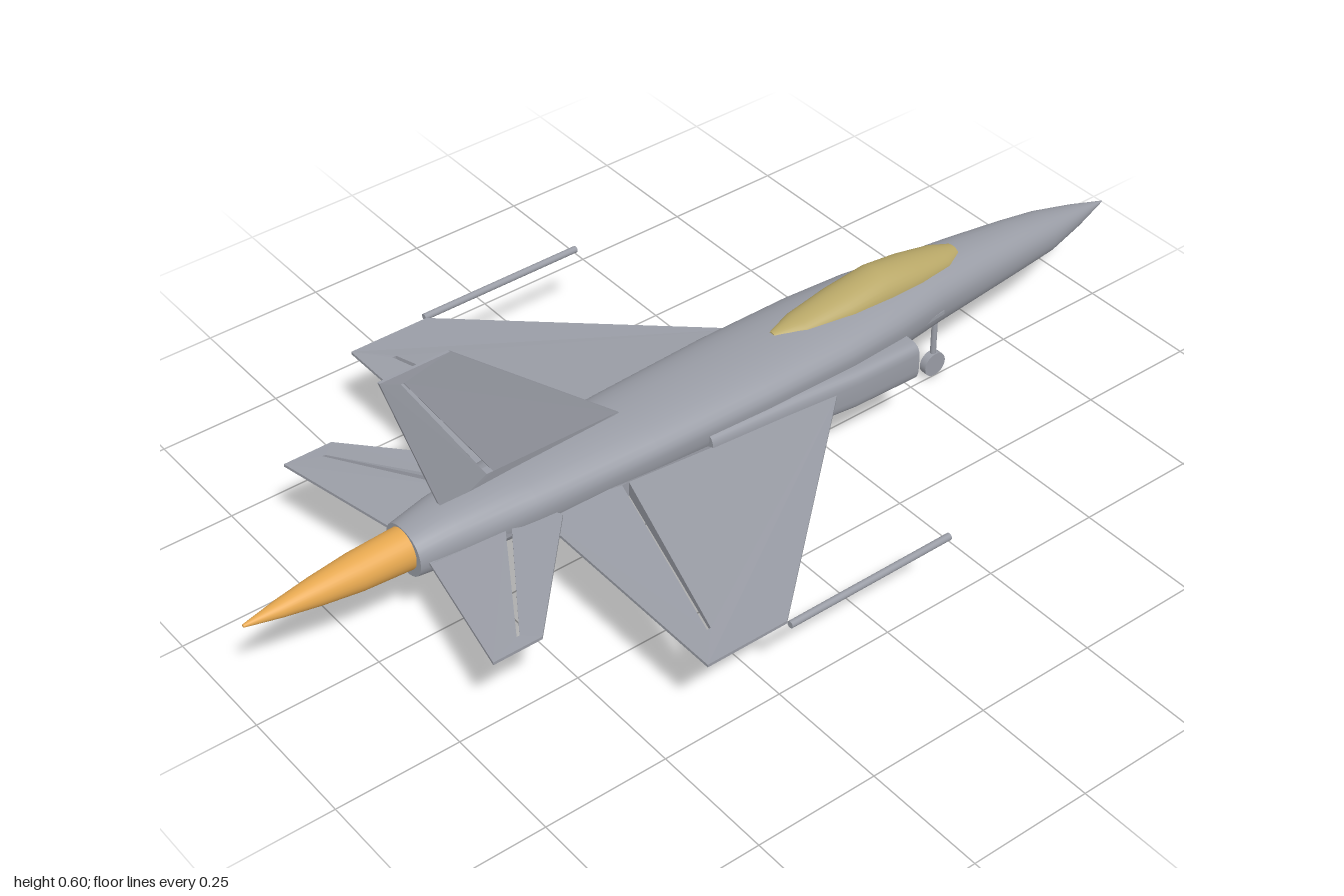
import * as THREE from 'three';

const mat = (name, color, side = THREE.FrontSide) => {
  const m = new THREE.MeshStandardMaterial({ color, side });
  m.name = name;
  return m;
};

// Smooth body through stations [x, halfWidth, top, bottom, widestY, centreZ]; power < 1 squares the section
function loft(stations, power = 1, n = 32) {
  const pos = [], idx = [];
  const bend = v => Math.sign(v) * Math.pow(Math.abs(v), power);
  const ring = ([x, w, top, bottom, mid, cz = 0]) => {
    for (let j = 0; j < n; j++) {
      const a = (j / n) * Math.PI * 2, s = bend(Math.sin(a));
      pos.push(x, mid + s * (s > 0 ? top - mid : mid - bottom), cz + w * bend(Math.cos(a)));
    }
  };
  stations.forEach(ring);
  for (let i = 0; i < stations.length - 1; i++) {
    for (let j = 0; j < n; j++) {
      const k = (j + 1) % n, a = i * n + j, b = a + n, c = (i + 1) * n + k, d = i * n + k;
      idx.push(a, b, c, a, c, d);
    }
  }
  // end caps
  [stations[0], stations[stations.length - 1]].forEach((st, e) => {
    const base = pos.length / 3;
    ring(st);
    pos.push(st[0], st[4], st[5] || 0);
    for (let j = 0; j < n; j++) {
      const k = (j + 1) % n;
      if (e === 0) idx.push(base + n, base + j, base + k);
      else idx.push(base + n, base + k, base + j);
    }
  });
  const g = new THREE.BufferGeometry();
  g.setAttribute('position', new THREE.Float32BufferAttribute(pos, 3));
  g.setIndex(idx);
  g.computeVertexNormals();
  return g;
}

// Upright tapered panel: thin at its outline, thickest along the control-surface slit
function panel(outline, slit, thickRoot, thickTip) {
  const vec = p => new THREE.Vector2(p[0], p[1]);
  const shape = new THREE.Shape(outline.map(vec));
  shape.holes.push(new THREE.Path(slit.map(vec)));
  const g = new THREE.ExtrudeGeometry(shape, { depth: 1, bevelEnabled: false });
  const p = g.attributes.position;
  const low = slit[0][1], high = slit[2][1];
  for (let i = 0; i < p.count; i++) {
    const x = p.getX(i), y = p.getY(i);
    const onSlit = slit.some(q => Math.abs(q[0] - x) + Math.abs(q[1] - y) < 1e-4);
    const half = onSlit ? THREE.MathUtils.lerp(thickRoot, thickTip, (y - low) / (high - low)) : 0.003;
    p.setZ(i, p.getZ(i) > 0.5 ? half : -half);
  }
  g.computeVertexNormals();
  return g;
}

export function createModel() {
  const model = new THREE.Group();
  model.name = 'jet';
  const grey = mat('airframeGrey', 0x9a9da6);
  const glass = mat('canopyGold', 0xb9a868);
  const orange = mat('flameOrange', 0xe6a850);

  const add = (name, geo, material = grey, parent = model) => {
    const m = new THREE.Mesh(geo, material);
    m.name = name;
    parent.add(m);
    return m;
  };
  // Cylinder between two points
  const rod = (name, a, b, r, sides = 16) => {
    const from = new THREE.Vector3(...a), to = new THREE.Vector3(...b);
    const m = add(name, new THREE.CylinderGeometry(r, r, from.distanceTo(to), sides));
    m.position.copy(from).lerp(to, 0.5);
    m.quaternion.setFromUnitVectors(new THREE.Vector3(0, 1, 0), to.sub(from).normalize());
    return m;
  };

  // Fuselage, nose towards +x
  add('fuselage', loft([
    [-0.68, 0.053, 0.272, 0.176, 0.226],
    [-0.60, 0.066, 0.286, 0.171, 0.232],
    [-0.45, 0.084, 0.292, 0.168, 0.240],
    [-0.20, 0.102, 0.297, 0.163, 0.248],
    [0.05, 0.110, 0.302, 0.160, 0.252],
    [0.25, 0.109, 0.305, 0.161, 0.252],
    [0.38, 0.099, 0.306, 0.164, 0.250],
    [0.50, 0.080, 0.304, 0.169, 0.245],
    [0.62, 0.067, 0.297, 0.176, 0.240],
    [0.75, 0.053, 0.284, 0.184, 0.235],
    [0.83, 0.044, 0.273, 0.190, 0.231],
    [0.92, 0.024, 0.253, 0.209, 0.231],
    [1.00, 0.001, 0.232, 0.230, 0.231],
  ], 0.92));

  // Exhaust flame
  add('exhaustFlame', loft([
    [-1.00, 0.003, 0.235, 0.229, 0.232],
    [-0.93, 0.017, 0.247, 0.215, 0.231],
    [-0.86, 0.027, 0.257, 0.203, 0.230],
    [-0.78, 0.036, 0.265, 0.193, 0.229],
    [-0.67, 0.041, 0.270, 0.187, 0.229],
  ]), orange);

  // Cockpit canopy
  add('canopy', loft([
    [0.14, 0.010, 0.306, 0.290, 0.296],
    [0.20, 0.034, 0.314, 0.280, 0.294],
    [0.30, 0.048, 0.327, 0.280, 0.294],
    [0.39, 0.051, 0.340, 0.280, 0.294],
    [0.47, 0.048, 0.330, 0.278, 0.292],
    [0.55, 0.038, 0.315, 0.275, 0.289],
    [0.59, 0.022, 0.304, 0.275, 0.286],
  ]), glass);

  // Tail fin
  add('tailFin', panel(
    [[-0.59, 0.26], [-0.17, 0.26], [-0.22, 0.30], [-0.56, 0.60], [-0.70, 0.60], [-0.605, 0.29]],
    [[-0.507, 0.31], [-0.493, 0.31], [-0.654, 0.58], [-0.66, 0.58]], 0.009, 0.004));

  const wingShape = panel(
    [[-0.44, 0.05], [0.27, 0.05], [0.19, 0.13], [-0.27, 0.54], [-0.44, 0.54]],
    [[-0.284, 0.10], [-0.269, 0.10], [-0.382, 0.475], [-0.39, 0.475]], 0.016, 0.005);
  const tailShape = panel(
    [[-0.66, 0.03], [-0.45, 0.03], [-0.41, 0.095], [-0.62, 0.325], [-0.72, 0.325], [-0.665, 0.06]],
    [[-0.518, 0.075], [-0.505, 0.075], [-0.649, 0.30], [-0.655, 0.30]], 0.009, 0.004);

  for (const s of [1, -1]) {
    const side = s > 0 ? 'near' : 'far';

    // Wing, tailplane and wingtip rail
    const wing = add(side + 'Wing', wingShape);
    wing.position.y = 0.211;
    wing.rotation.x = s * Math.PI / 2;
    const tail = add(side + 'Tailplane', tailShape);
    tail.position.y = 0.222;
    tail.rotation.x = s * Math.PI / 2;
    rod(side + 'WingtipRail', [-0.27, 0.211, s * 0.548], [0.09, 0.211, s * 0.548], 0.007, 12);

    // Air intake and the slim strake ahead of it
    add(side + 'Intake', loft([
      [-0.09, 0.035, 0.246, 0.166, 0.21, s * 0.080],
      [0.10, 0.036, 0.243, 0.160, 0.20, s * 0.088],
      [0.24, 0.036, 0.240, 0.153, 0.20, s * 0.098],
      [0.39, 0.035, 0.237, 0.150, 0.20, s * 0.100],
    ], 0.55));
    const strake = add(side + 'Strake', new THREE.BoxGeometry(0.24, 0.008, 0.022));
    strake.position.set(0.38, 0.232, s * 0.082);
    strake.rotation.y = s * 0.1;

    // Main landing gear
    rod(side + 'MainStrut', [-0.035, 0.05, s * 0.135], [-0.035, 0.18, s * 0.112], 0.009);
    rod(side + 'MainWheel', [-0.035, 0.036, s * 0.125], [-0.035, 0.036, s * 0.146], 0.036, 28);
  }

  // Nose landing gear
  rod('noseStrut', [0.555, 0.04, 0], [0.555, 0.19, 0], 0.006);
  rod('noseWheel', [0.555, 0.035, -0.008], [0.555, 0.035, 0.008], 0.026, 28);

  return model;
}
